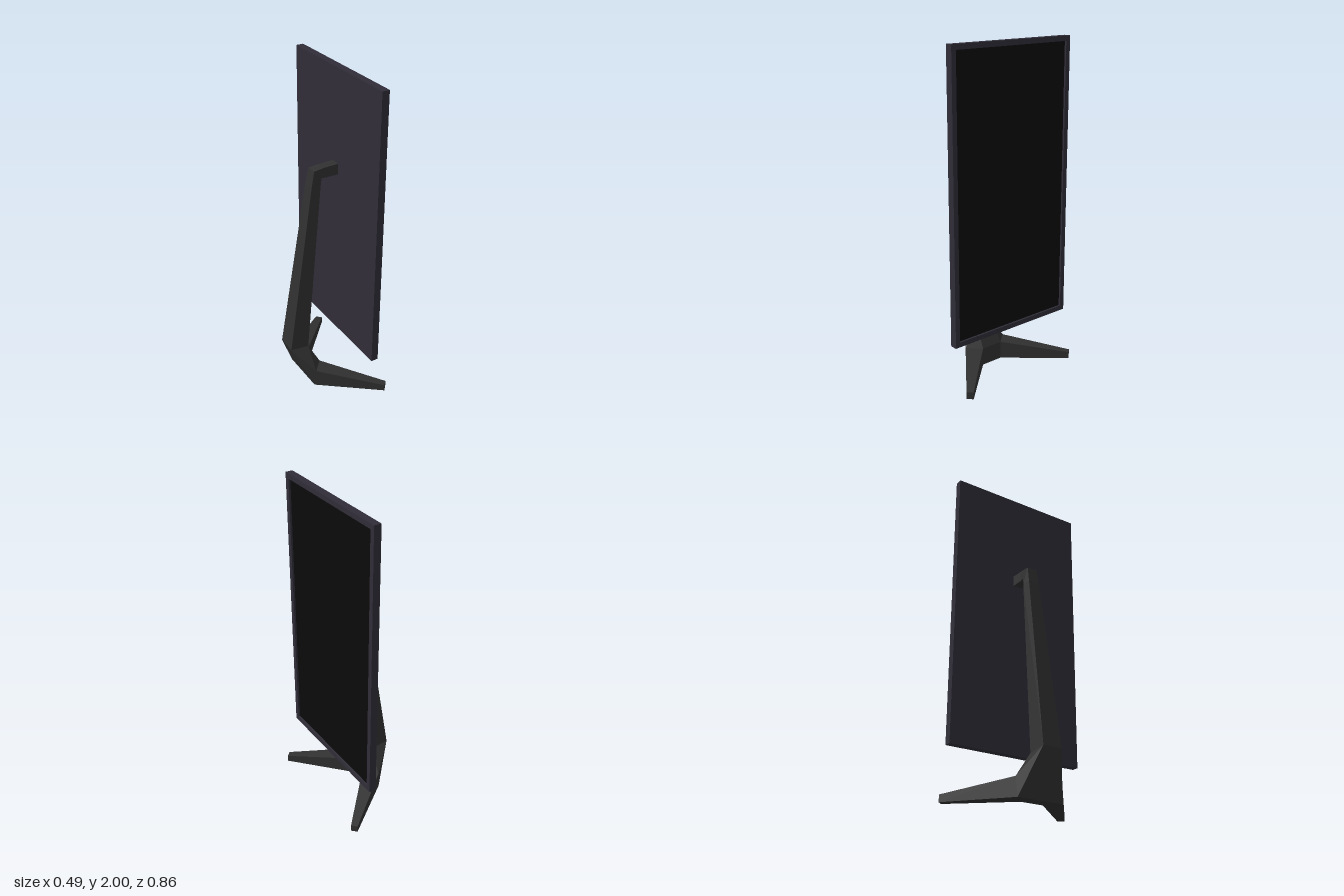
import * as THREE from 'three';
import { ConvexGeometry } from 'three/addons/geometries/ConvexGeometry.js';

const standMat = new THREE.MeshStandardMaterial({ color: 0x303030, flatShading: true });
const frameMat = new THREE.MeshStandardMaterial({ color: 0x302d38, flatShading: true });
const screenMat = new THREE.MeshStandardMaterial({ color: 0x0a0a0a, flatShading: true });

const v = (x, y, z) => new THREE.Vector3(x, y, z);

// Solid hull around a few corner points
function hull(name, points) {
  const mesh = new THREE.Mesh(new ConvexGeometry(points), standMat);
  mesh.name = name;
  return mesh;
}

// Points [x, y, halfWidth] mirrored across z
const mirrored = (pts) => pts.flatMap(([x, y, w]) => [v(x, y, w), v(x, y, -w)]);

function box(name, size, pos, mat) {
  const mesh = new THREE.Mesh(new THREE.BoxGeometry(...size), mat);
  mesh.position.set(...pos);
  mesh.name = name;
  return mesh;
}

export function createModel() {
  const model = new THREE.Group();
  model.name = 'uprightMonitor';

  // Panel: portrait frame with a slightly recessed screen facing +x
  const panel = new THREE.Group();
  panel.name = 'panel';
  const y0 = 0.297, y1 = 2, hw = 0.432, rim = 0.03;
  const midY = (y0 + y1) / 2, h = y1 - y0;
  const outline = new THREE.Shape([
    new THREE.Vector2(-hw, y0), new THREE.Vector2(hw, y0),
    new THREE.Vector2(hw, y1), new THREE.Vector2(-hw, y1)]);
  outline.holes.push(new THREE.Path([
    new THREE.Vector2(-hw + rim, y0 + rim), new THREE.Vector2(-hw + rim, y1 - rim),
    new THREE.Vector2(hw - rim, y1 - rim), new THREE.Vector2(hw - rim, y0 + rim)]));
  const frameGeo = new THREE.ExtrudeGeometry(outline, { depth: 0.035, bevelEnabled: false });
  frameGeo.rotateY(Math.PI / 2).translate(0.107, 0, 0);
  const frame = new THREE.Mesh(frameGeo, frameMat);
  frame.name = 'bezel';
  panel.add(
    frame,
    box('backCover', [0.01, h, hw * 2], [0.103, midY, 0], frameMat),
    box('screen', [0.022, h - rim * 2, (hw - rim) * 2], [0.119, midY, 0], screenMat));
  model.add(panel);

  // Stand: leaning tapered post, bent neck and arm to the panel
  const stand = new THREE.Group();
  stand.name = 'stand';
  const elbow = [[-0.245, 0.265, 0.06], [-0.125, 0.25, 0.06]];
  const shoulder = [[-0.08, 1.33, 0.036], [-0.022, 1.33, 0.038]];
  const neck = [[-0.06, 1.43, 0.032], [-0.012, 1.378, 0.032]];
  const armStart = [[0, 1.437, 0.03], [0.02, 1.374, 0.03]];
  const armEnd = [[0.1, 1.44, 0.03], [0.1, 1.374, 0.03]];
  const rings = [elbow, shoulder, neck, armStart, armEnd];
  const names = ['post', 'neck', 'armBend', 'arm'];
  names.forEach((name, i) => stand.add(hull(name, mirrored([...rings[i], ...rings[i + 1]]))));

  // Base block spreading from the elbow down to the two leg roots
  const root = [
    [-0.122, 0.112, 0.152], [-0.05, 0.11, 0.072],
    [-0.05, 0, 0.072], [-0.13, 0, 0.145]];
  stand.add(hull('base', mirrored([...elbow, ...root])));

  // Splayed legs tapering to low tips
  const tip = [[0.215, 0.045, 0.418], [0.243, 0.045, 0.388], [0.243, 0.003, 0.388], [0.215, 0.003, 0.418]];
  for (const [name, s] of [['legPlusZ', 1], ['legMinusZ', -1]]) {
    stand.add(hull(name, [...root, ...tip].map(([x, y, z]) => v(x, y, z * s))));
  }
  model.add(stand);
  return model;
}
